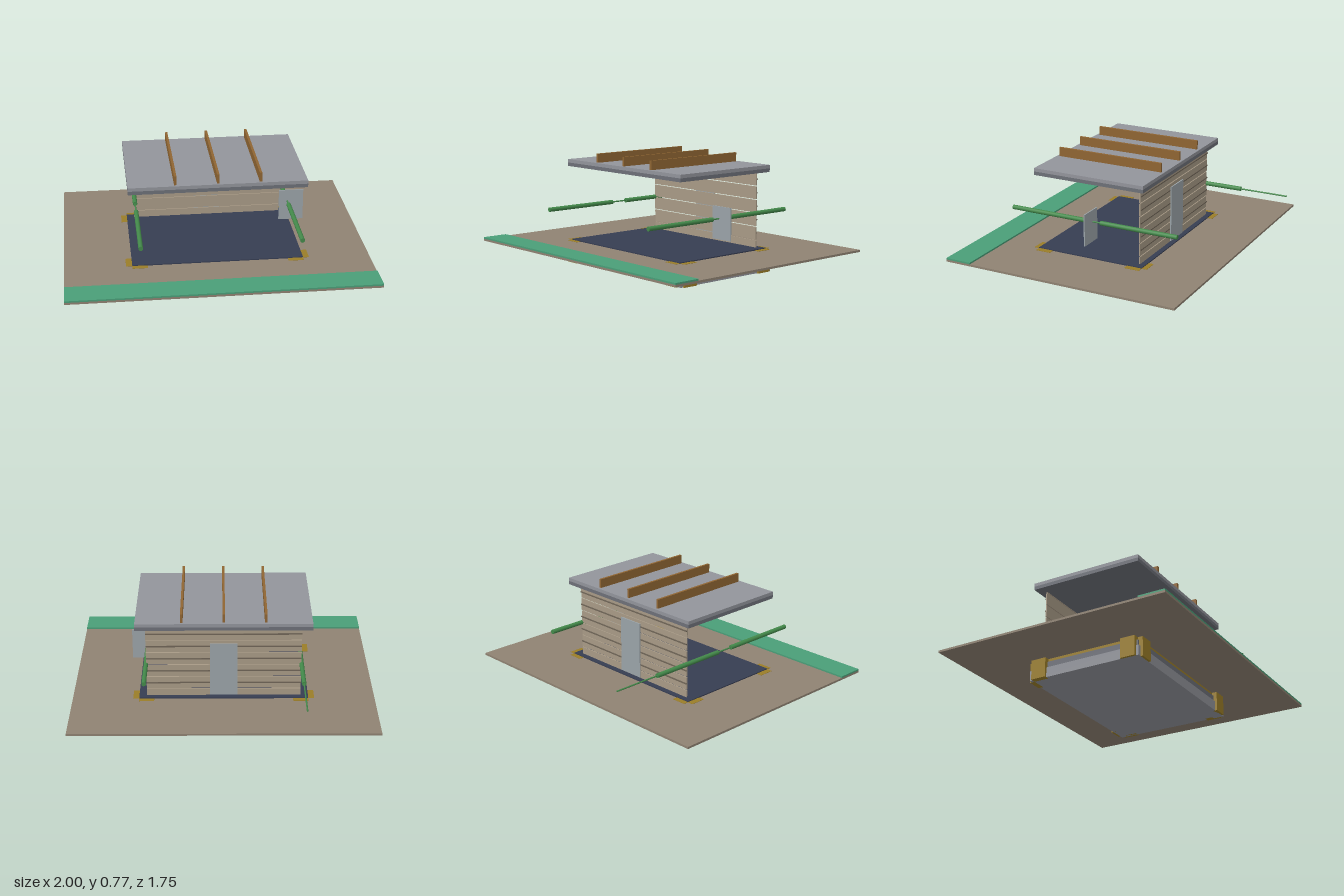
import * as THREE from 'three';

const mat = (color) => new THREE.MeshStandardMaterial({ color });
const M = {
  earth: mat(0x8f8272), grass: mat(0x4a9e78), yellow: mat(0x9a7d28), grey: mat(0x92949b),
  darkGrey: mat(0x6d7078), floor: mat(0x363d52), plank: mat(0xa89a86), batten: mat(0x6f6557),
  panel: mat(0x9aa3a8), beam: mat(0x8f6532), green: mat(0x43894a),
};

export function createModel() {
  const model = new THREE.Group();
  model.name = 'pavilion';

  // Box given by its limits on each axis
  const box = (name, material, x0, x1, y0, y1, z0, z1) => {
    const mesh = new THREE.Mesh(new THREE.BoxGeometry(x1 - x0, y1 - y0, z1 - z0), material);
    mesh.position.set((x0 + x1) / 2, (y0 + y1) / 2, (z0 + z1) / 2);
    mesh.name = name;
    model.add(mesh);
  };
  // Rod along z
  const rod = (name, x, z0, z1, radius) => {
    const geometry = new THREE.CylinderGeometry(radius, radius, z1 - z0, 16).rotateX(Math.PI / 2);
    const mesh = new THREE.Mesh(geometry, M.green);
    mesh.position.set(x, 0.385, (z0 + z1) / 2);
    mesh.name = name;
    model.add(mesh);
  };

  // Ground and grass strip
  box('ground', M.earth, -1, 1, 0.133, 0.147, -0.76, 0.87);
  box('grassStrip', M.grass, -1, 1, 0.147, 0.158, 0.69, 0.87);

  // Layered foundation
  box('foundationSlab', M.grey, -0.585, 0.585, 0, 0.068, -0.34, 0.46);
  box('foundationLayer', M.darkGrey, -0.575, 0.575, 0.068, 0.11, -0.33, 0.45);
  box('foundationCore', M.yellow, -0.565, 0.565, 0.11, 0.133, -0.32, 0.44);

  // Pair of formwork blocks at each corner
  for (const s of [-1, 1]) {
    const span = (a, b) => (s > 0 ? [a, b] : [-b, -a]);
    for (const [z0, z1] of [[-0.355, -0.32], [0.44, 0.475]])
      box('cornerBlockEnd', M.yellow, ...span(0.46, 0.56), 0, 0.149, z0, z1);
    for (const [z0, z1] of [[-0.32, -0.215], [0.335, 0.44]])
      box('cornerBlockSide', M.yellow, ...span(0.56, 0.6), 0, 0.149, z0, z1);
  }
  box('floor', M.floor, -0.56, 0.56, 0.147, 0.154, -0.32, 0.44);

  // Back wall: planks with narrow gaps and a batten behind each
  for (let i = 0; i < 6; i++) {
    const y = 0.205 + (i - 1) * 0.09;
    box('wallPlank', M.plank, -0.51, 0.51, Math.max(y + 0.003, 0.154), y + 0.087, -0.284, -0.276);
    if (i > 0) box('wallBatten', M.batten, -0.51, 0.51, y + 0.041, y + 0.049, -0.29, -0.284);
  }
  box('wallTopPlank', M.plank, -0.51, 0.51, 0.655, 0.662, -0.284, -0.276);
  box('door', M.panel, -0.09, 0.09, 0.165, 0.545, -0.3, -0.292);

  // Roof and its ridges
  box('roofBase', M.darkGrey, -0.575, 0.575, 0.66, 0.684, -0.335, 0.453);
  box('roofTop', M.grey, -0.575, 0.575, 0.684, 0.707, -0.335, 0.453);
  for (const x of [-0.273, 0, 0.273])
    box('roofBeam', M.beam, x - 0.008, x + 0.008, 0.707, 0.767, -0.315, 0.435);

  // Side rails with thin inner rods
  for (const x of [-0.512, 0.512]) {
    rod('frontRail', x, 0.12, 0.66, 0.015);
    rod('backRail', x, -0.545, 0, 0.015);
    rod('railJoint', x, 0, 0.12, 0.005);
  }
  rod('rodExtension', -0.512, -0.88, -0.545, 0.005);

  box('sidePanel', M.panel, 0.455, 0.62, 0.25, 0.465, 0.057, 0.065);
  return model;
}
